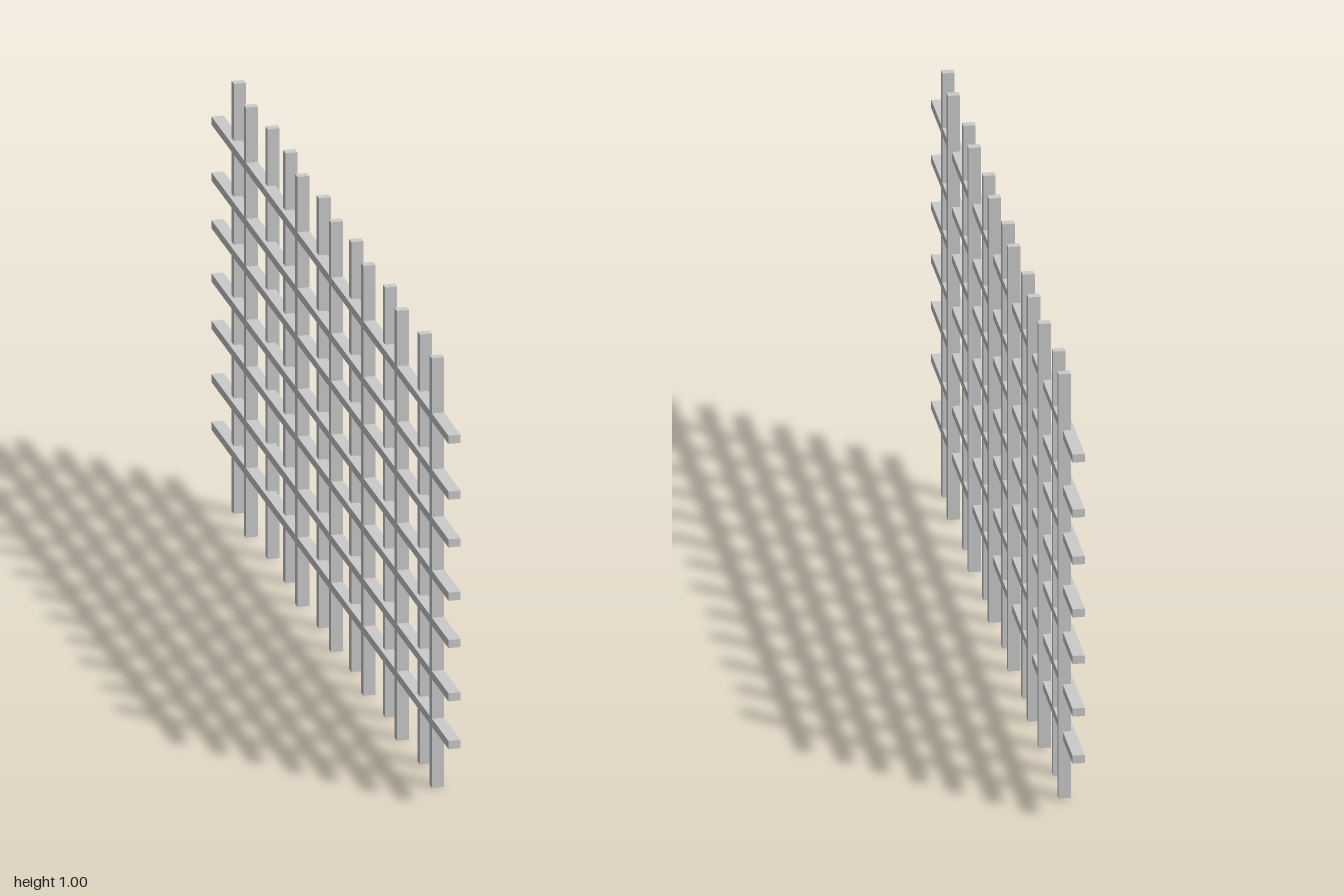
import * as THREE from 'three';

export function createModel() {
  const model = new THREE.Group();
  const material = new THREE.MeshStandardMaterial({ color: 0xcccccc, flatShading: true });
  const depth = 0.027, bar = 0.019;
  const backX = -0.005, frontX = 0.004; // the two layers of the lattice

  function addBar(name, size, position) {
    const mesh = new THREE.Mesh(new THREE.BoxGeometry(...size), material);
    mesh.name = name;
    mesh.position.set(...position);
    model.add(mesh);
  }

  // Long horizontal rails, unevenly spaced
  const railHeights = [0.152, 0.263, 0.387, 0.497, 0.621, 0.732, 0.862];
  railHeights.forEach((y, i) => addBar('rail' + (i + 1), [depth, bar, 2], [backX, y, 0]));

  // Upright slats: [z, true when set forward and slightly raised]
  const slats = [
    [-0.854, true], [-0.718, false], [-0.570, true], [-0.420, true], [-0.284, false],
    [-0.137, true], [0, false], [0.137, true], [0.273, false], [0.422, true],
    [0.555, false], [0.716, true], [0.851, false],
  ];
  slats.forEach(([z, forward], i) => addBar('slat' + (i + 1), [depth, 1, bar],
    [forward ? frontX : backX, forward ? 0.504 : 0.5, z]));

  return model;
}
